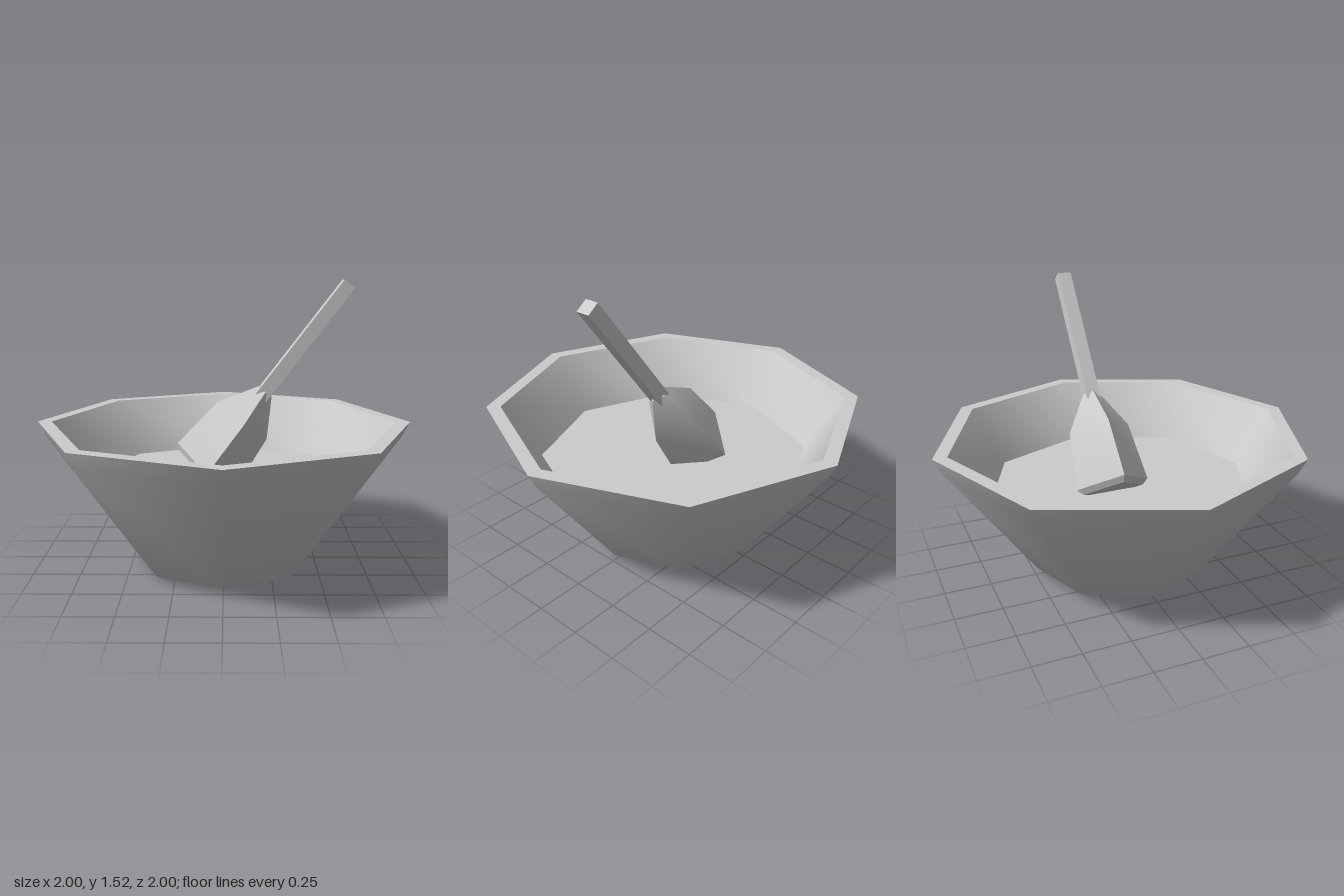
import * as THREE from 'three';
import { toCreasedNormals } from 'three/addons/utils/BufferGeometryUtils.js';

const stone = new THREE.MeshStandardMaterial({ color: 0xcccccc });
stone.name = 'stone';

// Low-sided turned solid: smooth over shallow bends, crisp at steep ones
function turned(name, profile, sides) {
  const points = profile.map(([r, y]) => new THREE.Vector2(r, y));
  const mesh = new THREE.Mesh(toCreasedNormals(new THREE.LatheGeometry(points, sides), 0.75), stone);
  mesh.name = name;
  return mesh;
}

export function createModel() {
  const model = new THREE.Group();
  model.name = 'mortarAndPestle';

  // Eight-sided bowl: underside, outer wall, rim, inner wall, floor
  model.add(turned('bowl', [
    [0, 0], [0.43, 0], [0.485, 0.03], [0.96, 0.69], [1, 0.77],
    [0.925, 0.77], [0.73, 0.465], [0, 0.465],
  ], 8));

  // Pestle, built upright along y, then leaned towards +x
  const pestle = new THREE.Group();
  pestle.name = 'pestle';
  pestle.add(turned('pestleHead', [
    [0, -0.03], [0.17, -0.03], [0.205, 0], [0.17, 0.314], [0.045, 0.52], [0, 0.52],
  ], 4));

  const handleStart = 0.48, handleEnd = 1.242;
  const handle = new THREE.Mesh(new THREE.BoxGeometry(0.072, handleEnd - handleStart, 0.075), stone);
  handle.name = 'pestleHandle';
  handle.position.y = (handleStart + handleEnd) / 2;
  pestle.add(handle);

  pestle.position.set(-0.09, 0.51, -0.08);
  pestle.rotation.z = -0.65;
  model.add(pestle);

  return model;
}
